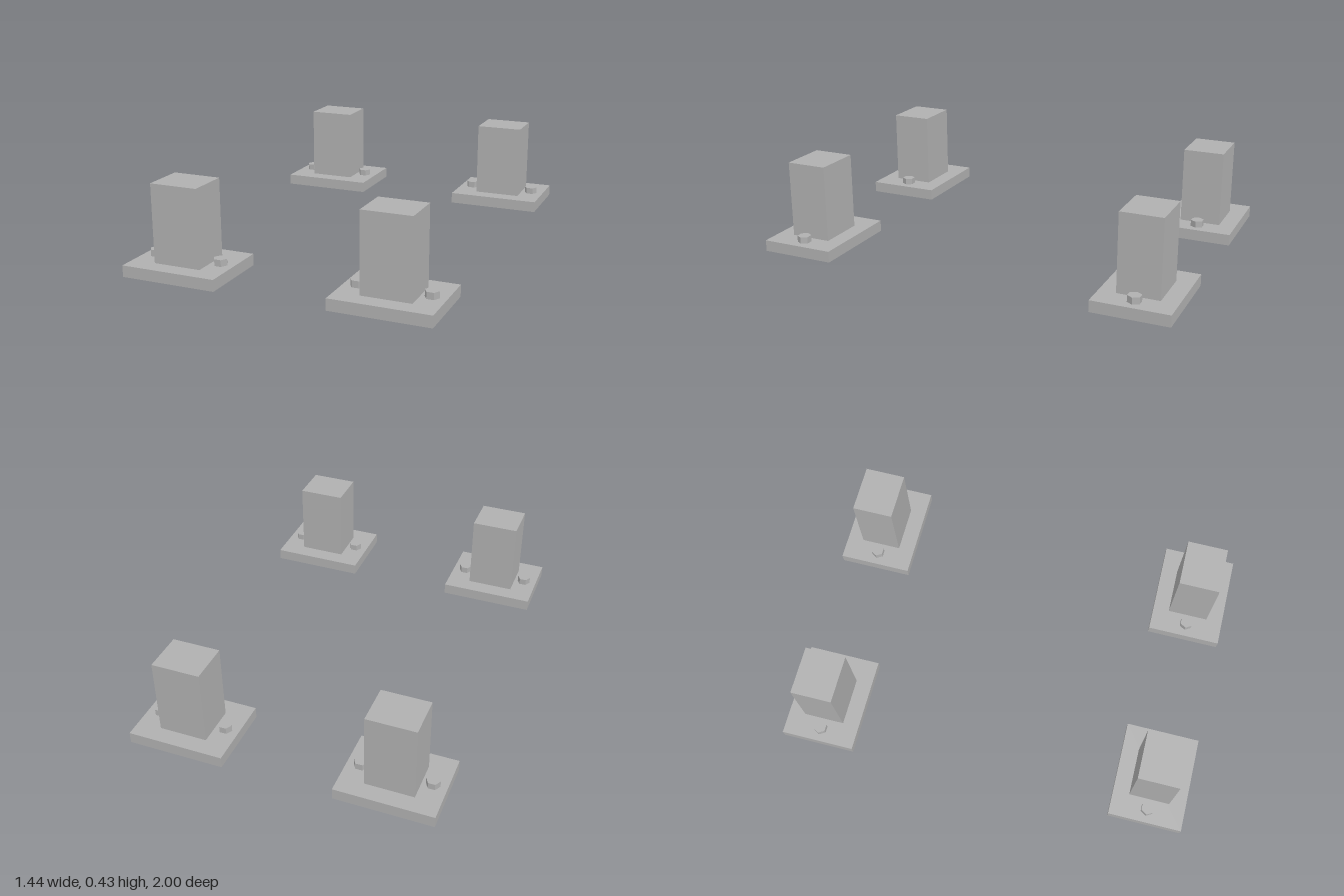
import * as THREE from 'three';

export function createModel() {
  const model = new THREE.Group();
  model.name = 'postFeet';
  const steel = new THREE.MeshStandardMaterial({ color: 0xb0b0b0 });
  steel.name = 'grey steel';

  const plateGeometry = new THREE.BoxGeometry(0.458, 0.054, 0.356);
  const postGeometry = new THREE.BoxGeometry(0.228, 0.428, 0.196);
  // Hexagon bolt head with corners pointing along x
  const boltGeometry = new THREE.CylinderGeometry(0.0325, 0.0325, 0.031, 6).toNonIndexed();
  boltGeometry.rotateY(Math.PI / 2);
  boltGeometry.computeVertexNormals();

  function add(parent, name, geometry, x, y) {
    const mesh = new THREE.Mesh(geometry, steel);
    mesh.name = name;
    mesh.position.set(x, y, 0);
    parent.add(mesh);
  }

  // One bolted foot at each corner
  for (const sx of [-1, 1]) {
    for (const sz of [-1, 1]) {
      const foot = new THREE.Group();
      foot.name = (sz > 0 ? 'front' : 'back') + (sx > 0 ? 'Left' : 'Right') + 'Foot';
      foot.position.set(sx * 0.491, 0, sz * 0.822);
      add(foot, 'basePlate', plateGeometry, 0, 0.035);
      // The post passes through the plate and sticks out slightly below
      add(foot, 'post', postGeometry, 0, 0.214);
      for (const side of [-1, 1]) {
        add(foot, side > 0 ? 'leftBolt' : 'rightBolt', boltGeometry, side * 0.164, 0.0775);
      }
      model.add(foot);
    }
  }
  return model;
}
